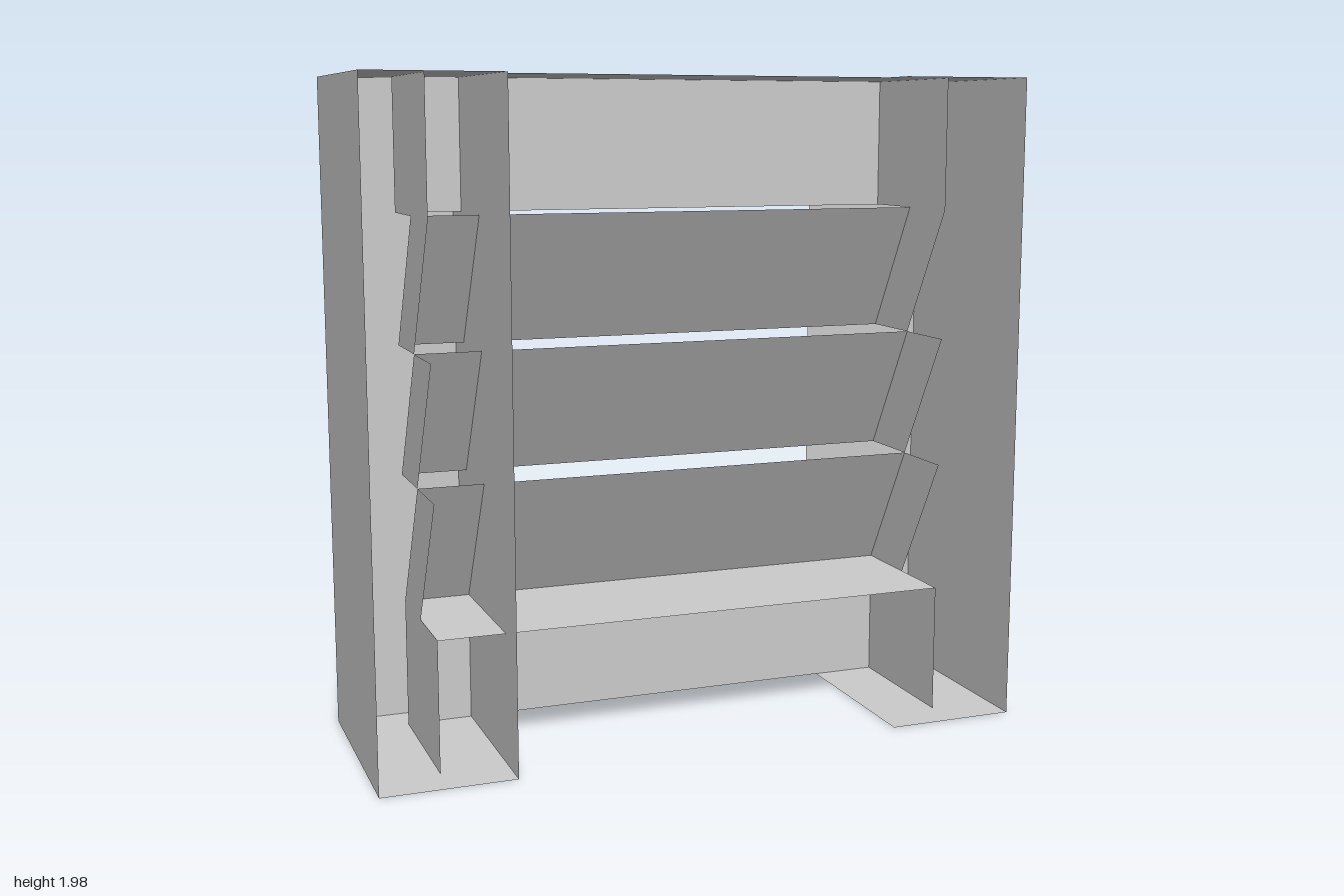
import * as THREE from 'three';

const H = 1.98, D = 0.333;            // overall height, half depth of the posts
const FRONT = 0.215, MID = -0.008, BACK = -0.23; // depth stations of the louver infill
const STEP = H / 5;                   // height of one infill band

export function createModel() {
  const group = new THREE.Group();
  const mat = new THREE.MeshStandardMaterial({ color: 0xcccccc, side: THREE.DoubleSide, flatShading: true });

  const add = (name, geometry, parent = group) => {
    const mesh = new THREE.Mesh(geometry, mat);
    mesh.name = name;
    parent.add(mesh);
    return mesh;
  };
  // Thin four-cornered sheet; corners run anticlockwise seen from outside
  const sheet = (name, a, b, c, d, parent) => {
    const g = new THREE.BufferGeometry();
    g.setAttribute('position', new THREE.Float32BufferAttribute([a, b, c, a, c, d].flat(), 3));
    g.computeVertexNormals();
    return add(name, g, parent);
  };
  const outline = (pts) => new THREE.Shape(pts.map(([u, v]) => new THREE.Vector2(u, v)));

  // Top plate, waisted between the posts
  const top = new THREE.ShapeGeometry(outline([
    [-1, -D], [-0.6, -D], [-0.6, -FRONT], [0.6, -FRONT], [0.6, -D], [1, -D],
    [1, D], [0.6, D], [0.6, -BACK], [-0.6, -BACK], [-0.6, D], [-1, D],
  ]));
  add('topPlate', top.rotateX(-Math.PI / 2).translate(0, H, 0));

  // Hollow posts, open at the front
  for (const [side, s] of [['left', 1], ['right', -1]]) {
    const post = new THREE.Group();
    post.name = side + 'Post';
    group.add(post);
    const o = s, i = s * 0.6, lo = Math.min(o, i), hi = Math.max(o, i);
    const wall = (name, x, n) => sheet(name, [x, 0, n * D], [x, 0, -n * D], [x, H, -n * D], [x, H, n * D], post);
    wall('outerWall', o, s);
    if (s < 0) wall('innerWall', i, -s); // only the right post has an inner wall
    sheet('backWall', [hi, 0, -D], [lo, 0, -D], [lo, H, -D], [hi, H, -D], post);
    sheet('footPlate', [lo, 0, -D], [hi, 0, -D], [hi, 0, D], [lo, 0, D], post);
  }

  // Back boards at the top and bottom, and the shelf on the lower one
  const W = 0.8;
  const across = (name, y0, z0, y1, z1) =>
    sheet(name, [W, y0, z0], [-W, y0, z0], [-W, y1, z1], [W, y1, z1]);
  across('upperBoard', 4 * STEP, BACK, H, BACK);
  across('lowerBoard', 0, BACK, STEP, BACK);
  across('shelf', STEP, BACK, STEP, FRONT);

  // Three slanted slats
  for (let k = 1; k <= 3; k++) across('slat', k * STEP, BACK, (k + 1) * STEP, MID);

  // Saw-toothed end panels of the infill, inside the posts
  const block = (k) => outline([[BACK, k * STEP], [FRONT, k * STEP], [FRONT, (k + 1) * STEP], [BACK, (k + 1) * STEP]]);
  const tooth = (k) => outline([[BACK, k * STEP], [MID, k * STEP], [FRONT, (k + 1) * STEP], [MID, (k + 1) * STEP]]);
  for (const x of [-W, W]) {
    const g = new THREE.ShapeGeometry([block(0), tooth(1), tooth(2), tooth(3), block(4)]);
    add('endPanel', g.rotateY(-Math.PI / 2).translate(x, 0, 0));
  }
  return group;
}
